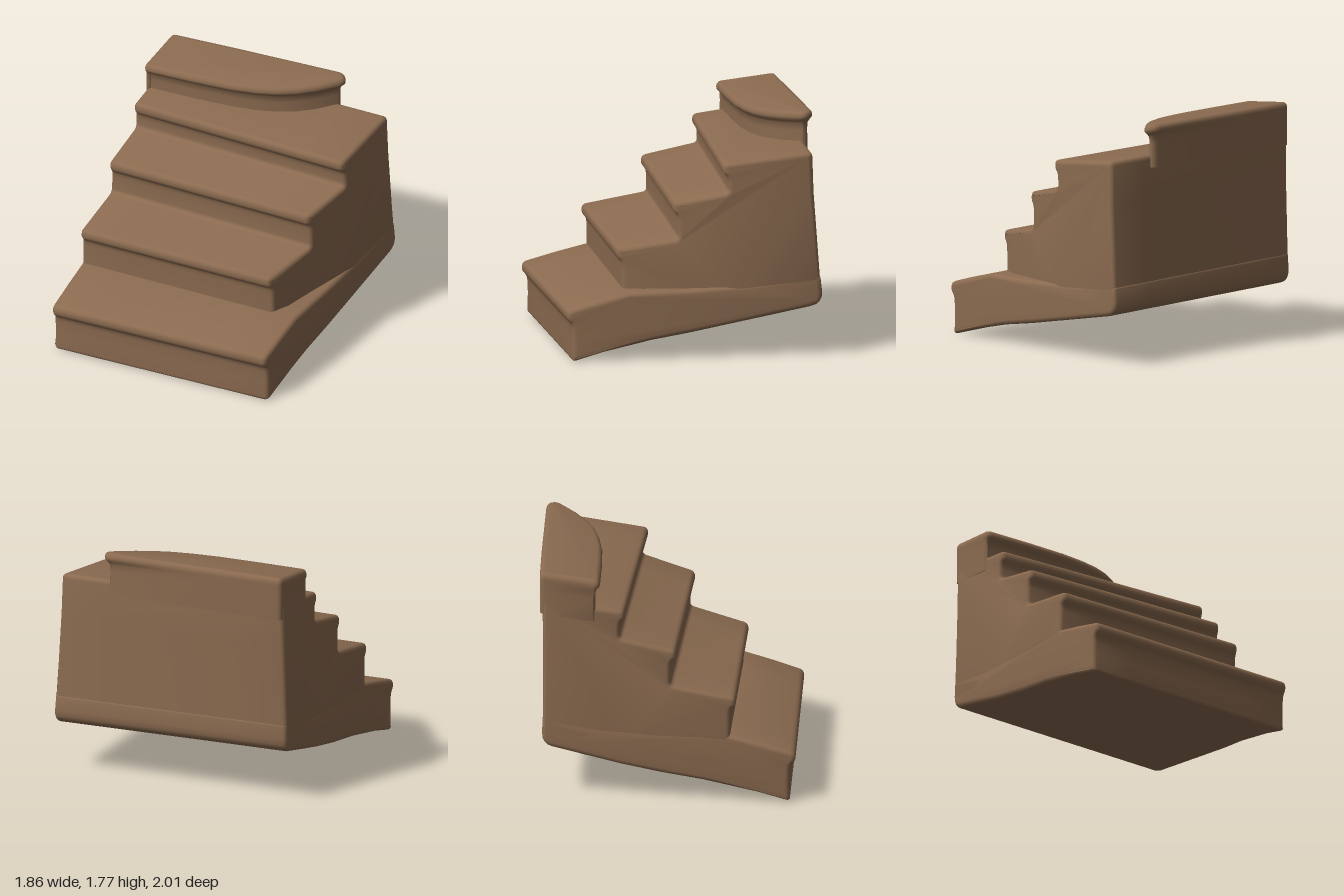
import * as THREE from 'three';
import { toCreasedNormals } from 'three/addons/utils/BufferGeometryUtils.js';

const { clamp, lerp } = THREE.MathUtils;

// Rounds the corners of a closed outline given as [a, b, radius]
function roundOutline(pts) {
  const out = [];
  pts.forEach(([a, b, r], i) => {
    const p = new THREE.Vector2(a, b);
    if (!r) return out.push(p);
    const toward = ([qa, qb]) => {
      const d = new THREE.Vector2(qa - a, qb - b);
      return p.clone().add(d.setLength(Math.min(r, d.length() * 0.45)));
    };
    const prev = toward(pts[(i + pts.length - 1) % pts.length]);
    const next = toward(pts[(i + 1) % pts.length]);
    out.push(...new THREE.QuadraticBezierCurve(prev, p, next).getPoints(4));
  });
  return out;
}

// Outward normals of a counter-clockwise outline
function outlineNormals(pts) {
  const n = pts.length;
  return pts.map((p, i) => {
    const d = pts[(i + 1) % n].clone().sub(pts[(i + n - 1) % n]).normalize();
    return new THREE.Vector2(d.y, -d.x);
  });
}

// Skins a stack of sections and caps both ends
function skin(outline, rings, place) {
  const normals = outlineNormals(outline);
  const n = outline.length, pos = [], idx = [];
  for (const ring of rings)
    outline.forEach((p, j) => pos.push(...place(p, normals[j], ring)));
  for (let i = 0; i < rings.length - 1; i++) {
    for (let j = 0; j < n; j++) {
      const a = i * n + j, c = i * n + (j + 1) % n;
      idx.push(a, a + n, c, c, a + n, c + n);
    }
  }
  const last = (rings.length - 1) * n;
  for (const [a, b, c] of THREE.ShapeUtils.triangulateShape(outline, [])) {
    idx.push(a, b, c, last + a, last + c, last + b);
  }
  const g = new THREE.BufferGeometry();
  g.setAttribute('position', new THREE.Float32BufferAttribute(pos, 3));
  g.setIndex(idx);
  return toCreasedNormals(g, 0.75);
}

// Side limits of the block
const leftX = (z, y) => -(0.87 + 0.034 * (1 - z) - 0.028 * Math.max(0, y - 0.5));
const rightX = (z, y) => 0.87 + 0.03 * (1 - z) - 0.025 * Math.max(0, y - 0.5);
// The upper flight narrows toward the front on its right end
const flightRightX = (z, y) => {
  const slope = 0.234 + 0.18 * clamp((0.85 - y) / 0.35, 0, 1) * clamp((0.5 - z) * 3, 0, 1);
  return Math.min(0.7 + (0.5 - z) * slope, rightX(z, y) - 0.003);
};
// Front and back run slightly askew
const skew = (x, z, y) =>
  z > -0.2 ? -0.06 * (z + 0.2) * x : 0.1 * (z + 0.2) * x * (1 - 0.5 * clamp(y - 0.5, 0, 1));

// Sections across the width, with rounded ends
const R = 0.032;
const ends = [0, 30, 60, 90].map((deg) => {
  const a = THREE.MathUtils.degToRad(deg);
  return { off: R * (1 - Math.sin(a)), inset: R * (1 - Math.cos(a)) };
}).map(({ off, inset }) => ({ off: inset, inset: off }));
const acrossWidth = [
  ...ends.map((e) => ({ u: 0, ...e })),
  ...[0.2, 0.4, 0.6, 0.8].map((u) => ({ u, off: 0, inset: 0 })),
  ...[...ends].reverse().map((e) => ({ u: 1, off: -e.off, inset: e.inset })),
];
const placeAcross = (right) => (p, nrm, { u, off, inset }) => {
  const z = p.x - nrm.x * inset, y = p.y - nrm.y * inset;
  const x = lerp(leftX(p.x, p.y), right(p.x, p.y), u) + off;
  return [x, Math.max(0, y - 0.008 * x), z + skew(x, z, y)];
};

export function createModel() {
  const group = new THREE.Group();
  const wood = new THREE.MeshStandardMaterial({ color: 0x8b6b50 });
  wood.name = 'brown';
  const add = (name, geometry) => {
    const mesh = new THREE.Mesh(geometry, wood);
    mesh.name = name;
    group.add(mesh);
  };

  // Sloping base with the lowest tread, as [z, y, radius]
  const base = roundOutline([
    [0.915, 0.008, 0.03], [0.91, 0.16, 0], [0.915, 0.29, 0.04], [0.955, 0.33, 0.03], [0.95, 0.395, 0.04],
    [0.72, 0.46, 0], [0.48, 0.52, 0], [0.2, 0.53, 0], [0, 0.535, 0], [-0.4, 0.56, 0], [-0.925, 0.62, 0.02],
    [-0.94, 0.41, 0.09],
    [-0.6, 0.335, 0], [-0.3, 0.27, 0], [0, 0.21, 0], [0.3, 0.16, 0], [0.68, 0.075, 0],
  ]);
  add('baseStep', skin(base, acrossWidth, placeAcross(rightX)));

  // Three middle steps, each with a rolled nosing
  const steps = [[0.49, 0.52, 0.818], [0.067, 0.9, 1.175], [-0.303, 1.26, 1.475]];
  const profile = [[0.49, 0.36, 0]];
  steps.forEach(([z, foot, top], i) => {
    profile.push(
      [z, foot, i ? 0.03 : 0],
      [z + 0.004, top - 0.1, 0.04],
      [z + 0.04, top - 0.065, 0.025],
      [z + 0.036, top, 0.035],
    );
  });
  profile.push(
    [-0.9, 1.555, 0.04], [-0.9, 1.25, 0], [-0.922, 0.62, 0], [-0.925, 0.47, 0],
    [-0.6, 0.43, 0], [-0.3, 0.4, 0], [0, 0.38, 0], [0.25, 0.37, 0],
  );
  add('middleSteps', skin(roundOutline(profile), acrossWidth, placeAcross(flightRightX)));

  // Curved top step, plan as [x, z, radius]
  const plan = roundOutline([
    [-0.905, -0.885, 0.04], [-0.4, -0.925, 0], [0, -0.952, 0], [0.5, -0.985, 0.05],
    [0.555, -0.91, 0.06], [0.47, -0.82, 0], [0.39, -0.74, 0], [0.28, -0.655, 0], [0.15, -0.585, 0],
    [0, -0.535, 0], [-0.2, -0.495, 0], [-0.5, -0.465, 0], [-0.905, -0.438, 0.05],
  ]);
  // Each level: height, undercut below the nosing, rounding of the rim
  const levels = [
    [1.42, 0.04, 0], [1.6, 0.045, 0], [1.65, 0.04, 0], [1.672, 0.022, 0], [1.688, 0.004, 0],
    [1.705, 0, 0], [1.724, 0, 0.005], [1.738, 0, 0.016], [1.744, 0, 0.034],
  ].map(([y, cut, rim]) => ({ y, cut, rim }));
  add('topStep', skin(plan, levels, (p, nrm, { y, cut, rim }) => {
    const overhang = clamp(Math.max(nrm.x, nrm.y) + 0.05, 0, 1);
    const backLip = 0.9 * clamp((p.x - 0.1) * 2.5, 0, 1);
    const d = cut * Math.max(overhang, backLip) + rim;
    const x = p.x - nrm.x * d, z = p.y - nrm.y * d;
    return [x, y - 0.12 * (z + 0.65), z];
  }));

  return group;
}
